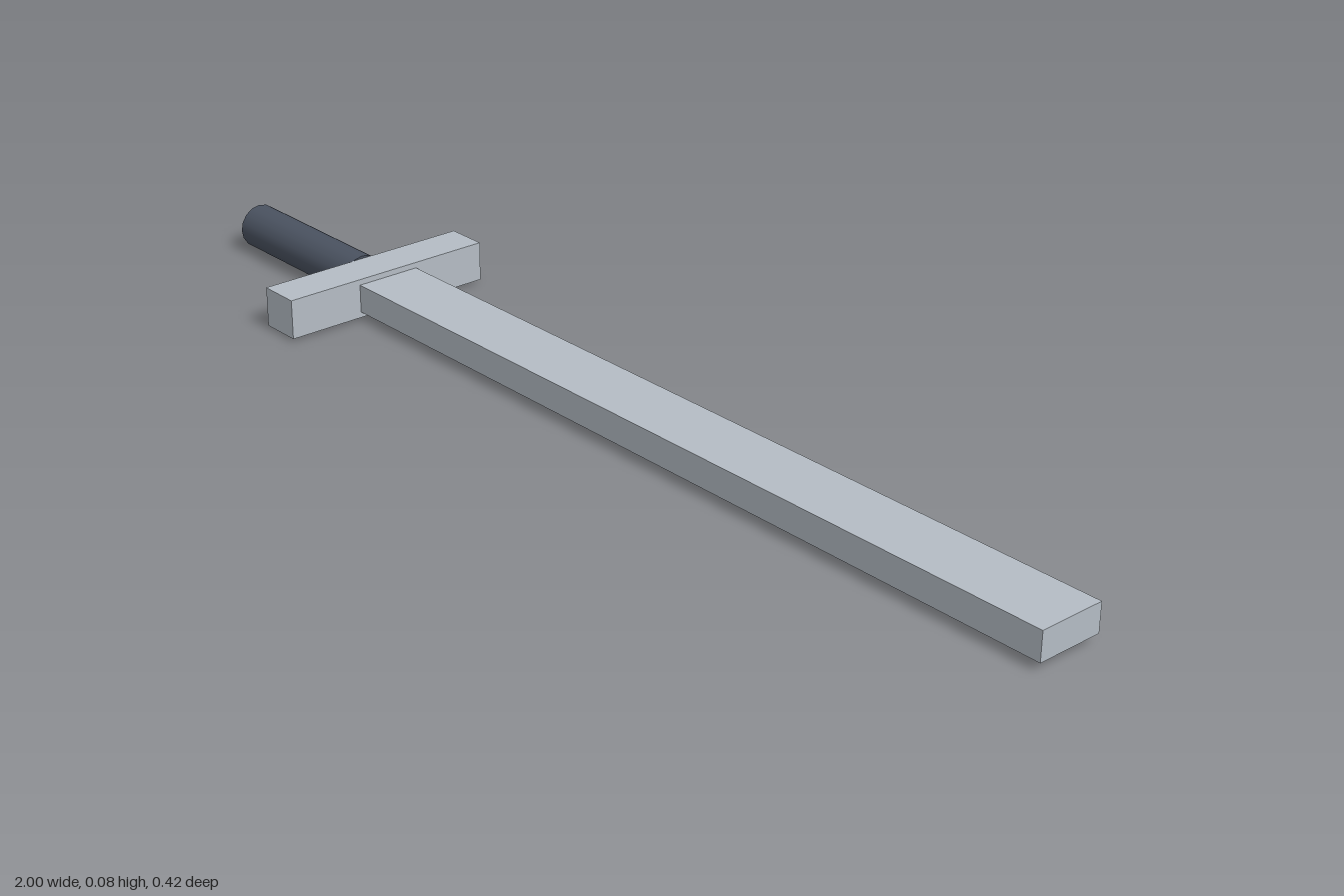
import * as THREE from 'three';

export function createModel() {
  const group = new THREE.Group();
  const steel = new THREE.MeshStandardMaterial({ color: 0xb4bcc4 });
  const grip = new THREE.MeshStandardMaterial({ color: 0x4a5260 });
  const midY = 0.0415;

  // Adds a part lying along x, from x0 to x1
  const add = (name, geometry, material, x0, x1) => {
    const mesh = new THREE.Mesh(geometry, material);
    mesh.name = name;
    mesh.position.set((x0 + x1) / 2, midY, 0);
    group.add(mesh);
  };

  // Long flat blade
  add('blade', new THREE.BoxGeometry(1.588, 0.052, 0.124), steel, -0.588, 1);

  // Crossguard
  add('crossguard', new THREE.BoxGeometry(0.078, 0.073, 0.417), steel, -0.666, -0.588);

  // Round handle
  const handle = new THREE.CylinderGeometry(midY, midY, 0.334, 16).rotateZ(Math.PI / 2);
  add('handle', handle, grip, -1, -0.666);

  return group;
}
